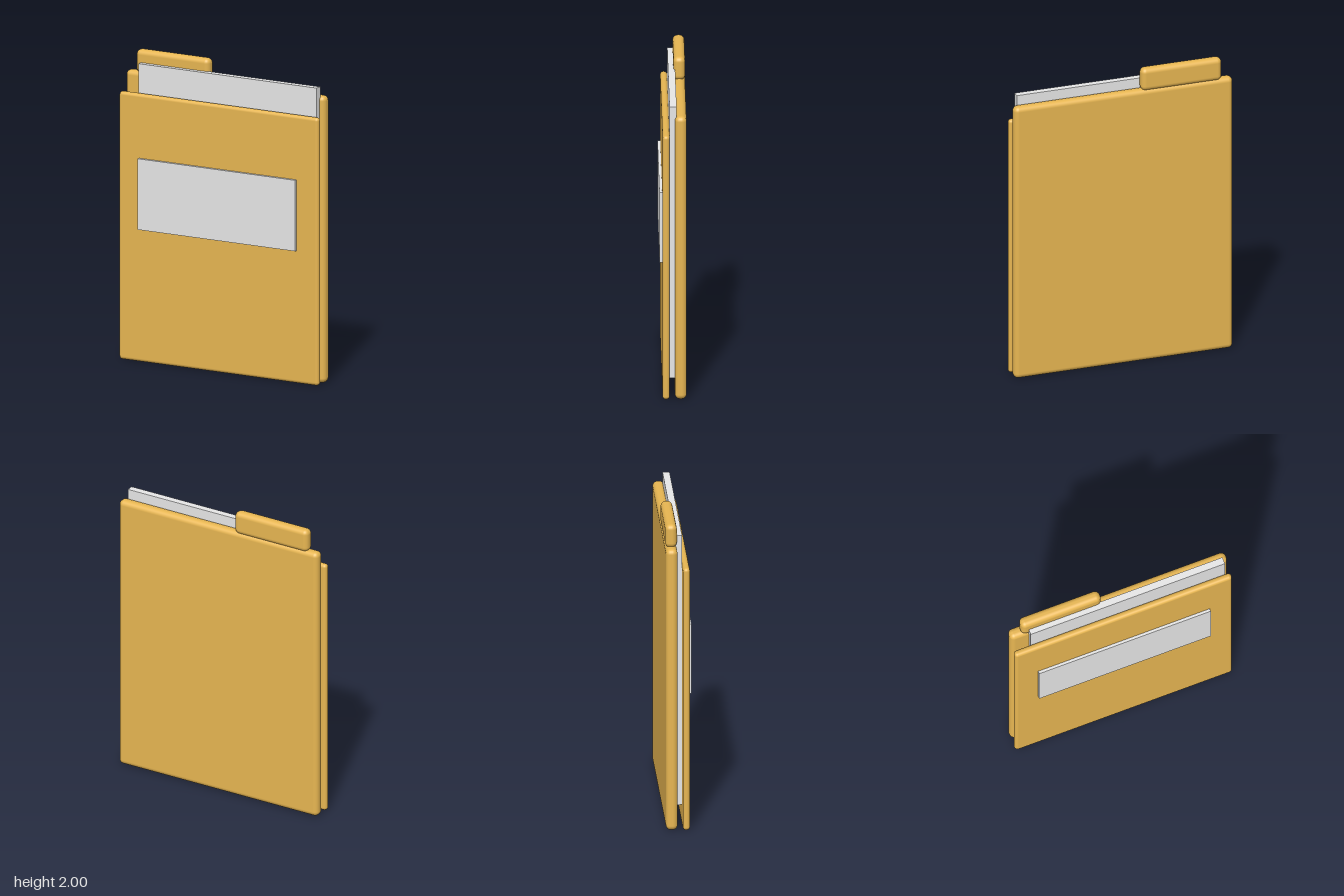
import * as THREE from 'three';
import { RoundedBoxGeometry } from 'three/addons/geometries/RoundedBoxGeometry.js';

// Places a box, optionally rounded, between two corners
function slab(name, material, [x0, y0, z0], [x1, y1, z1], radius = 0) {
  const size = [x1 - x0, y1 - y0, z1 - z0];
  const geometry = radius
    ? new RoundedBoxGeometry(...size, 4, radius)
    : new THREE.BoxGeometry(...size);
  const mesh = new THREE.Mesh(geometry, material);
  mesh.name = name;
  mesh.position.set((x0 + x1) / 2, (y0 + y1) / 2, (z0 + z1) / 2);
  return mesh;
}

export function createModel() {
  const card = new THREE.MeshStandardMaterial({ color: 0xebb953 });
  card.name = 'manila card';
  const paper = new THREE.MeshStandardMaterial({ color: 0xf0f0f0 });
  paper.name = 'white paper';

  const folder = new THREE.Group();
  folder.name = 'folder';
  folder.add(
    // Thick back cover with its index tab
    slab('backCover', card, [-0.735, 0, -0.085], [0.735, 1.86, -0.011], 0.032),
    slab('indexTab', card, [-0.66, 1.848, -0.085], [-0.12, 2, -0.011], 0.032),
    // Sheets held between the covers, slightly off centre
    slab('paperStack', paper, [-0.615, 0.135, -0.022], [0.7, 1.92, 0.023]),
    // Thinner, shorter front cover with a label
    slab('frontCover', card, [-0.735, 0, 0.022], [0.735, 1.735, 0.067], 0.021),
    slab('label', paper, [-0.582, 0.86, 0.064], [0.58, 1.32, 0.085])
  );
  return folder;
}
